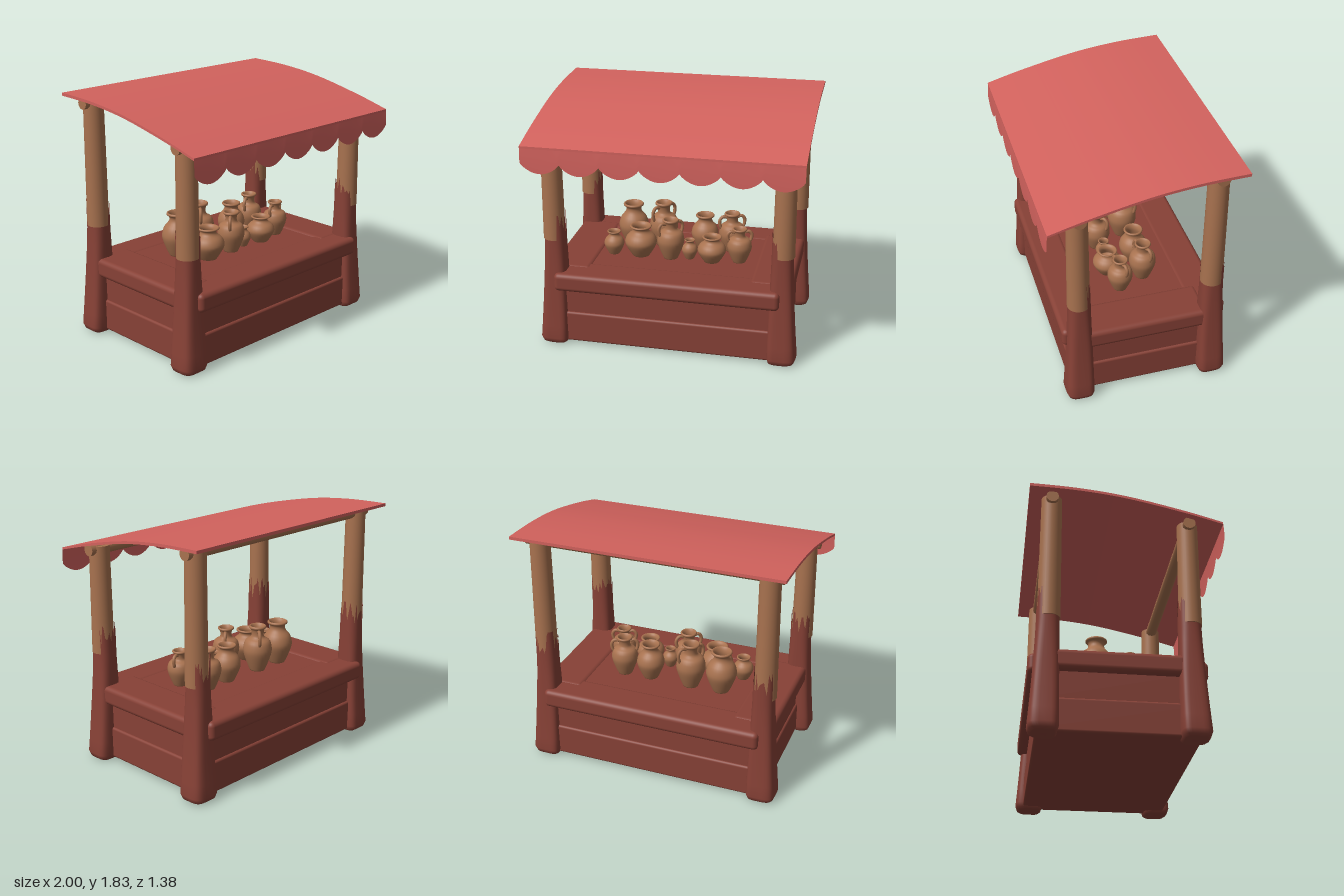
import * as THREE from 'three';
import { toCreasedNormals } from 'three/addons/utils/BufferGeometryUtils.js';
import { RoundedBoxGeometry } from 'three/addons/geometries/RoundedBoxGeometry.js';

const mat = (name, color, side = THREE.FrontSide) => {
  const m = new THREE.MeshStandardMaterial({ color, side });
  m.name = name;
  return m;
};

export function createModel() {
  const group = new THREE.Group();
  const cloth = mat('red cloth', 0xd2625d, THREE.DoubleSide);
  const wood = mat('light wood and clay', 0xa8724f, THREE.DoubleSide);
  const dark = mat('dark red wood', 0x874136, THREE.DoubleSide);

  let seed = 7;
  const rnd = () => (seed = (seed * 16807) % 2147483647) / 2147483647;

  const add = (name, geo, material, x = 0, y = 0, z = 0, parent = group) => {
    const m = new THREE.Mesh(geo, material);
    m.name = name;
    m.position.set(x, y, z);
    parent.add(m);
    return m;
  };
  // Rounded box given by its extents
  const slab = (name, x0, x1, y0, y1, z0, z1, r) =>
    add(name, new RoundedBoxGeometry(x1 - x0, y1 - y0, z1 - z0, 3, r), dark,
      (x0 + x1) / 2, (y0 + y1) / 2, (z0 + z1) / 2);

  // Flared post foot with a splintered upper rim on its inner and rear sides
  function footGeometry(sx, sz) {
    const N = 44, cx = sx * 0.843, cz = sz > 0 ? 0.45 : -0.53;
    const rows = [[0, 0], [0, 0.7], [0.015, 0.88], [0.05, 1], [0.15, 1], [0.3, 1], [0.5, 1], [0.7, 1], [0.82, 1], [null, 1]];
    const pos = [], index = [];
    rows.forEach(([rowY, scale], k) => {
      for (let i = 0; i < N; i++) {
        const a = (i / N) * Math.PI * 2, c = Math.cos(a), s = Math.sin(a);
        const torn = Math.max(-c * sx, -s) > 0.35;
        const y = rowY ?? (torn ? 0.89 + 0.2 * rnd() : 0.855);
        const t = Math.max(0, 1 - y / 0.85), e = 0.8 - 0.3 * Math.min(1, t * 2);
        const ux = Math.sign(c) * Math.abs(c) ** e, uz = Math.sign(s) * Math.abs(s) ** e;
        const hx = 0.078 + (ux * sx > 0 ? 0.055 * t ** 1.5 : 0.012 * t);
        const hz = 0.08 + (uz * sz > 0 ? 0.045 * t ** 1.5 : 0.01 * t);
        pos.push(cx + ux * hx * scale, y, cz + uz * hz * scale);
        if (k > 0) {
          const j = (i + 1) % N, b = (k - 1) * N, u = k * N;
          index.push(b + i, u + i, u + j, b + i, u + j, b + j);
        }
      }
    });
    const g = new THREE.BufferGeometry();
    g.setAttribute('position', new THREE.Float32BufferAttribute(pos, 3));
    g.setIndex(index);
    g.computeVertexNormals();
    return g;
  }

  // Posts and their feet
  for (const sx of [-1, 1]) for (const sz of [1, -1]) {
    const top = sz > 0 ? 1.65 : 1.8, bottom = 0.845;
    add('postFoot', footGeometry(sx, sz), dark);
    add('post', new THREE.CylinderGeometry(0.074, 0.081, top - bottom, 28), wood,
      sx * 0.85, (top + bottom) / 2, sz > 0 ? 0.455 : -0.525);
  }

  // Roof beams
  for (const [y, z] of [[1.625, 0.455], [1.772, -0.525]]) {
    add('roofBeam', new THREE.CylinderGeometry(0.045, 0.045, 1.9, 12), wood, 0, y, z).rotation.z = Math.PI / 2;
  }

  // Curved canopy
  const arc = new THREE.SplineCurve([[0.688, 1.615], [0.4, 1.692], [0, 1.778], [-0.35, 1.82], [-0.69, 1.834]]
    .map(([z, y]) => new THREE.Vector2(z, y))).getPoints(28);
  const under = arc.map((p, i) => new THREE.Vector2(p.x, p.y - 0.016 - 0.006 * i / 28)).reverse();
  const canopyGeo = new THREE.ExtrudeGeometry(new THREE.Shape([...arc, ...under]), { depth: 2, bevelEnabled: false });
  canopyGeo.rotateY(-Math.PI / 2).translate(1, 0, 0);
  add('canopy', toCreasedNormals(canopyGeo, 0.5), cloth);

  // Scalloped valance
  const valance = new THREE.PlaneGeometry(2, 1, 140, 5);
  const vp = valance.attributes.position;
  for (let i = 0; i < vp.count; i++) {
    const x = vp.getX(i), t = 0.5 - vp.getY(i);
    const u = ((x + 1) * 3.5) % 1;
    const low = 1.495 - 0.075 * Math.abs(Math.sin(Math.PI * u)) ** 0.75;
    vp.setXYZ(i, x, 1.612 + (low - 1.612) * t, 0.687 + 0.006 * Math.sin(t * Math.PI / 2));
  }
  valance.computeVertexNormals();
  add('valance', valance, cloth);

  // Counter body: two courses of planks
  slab('lowerPlanks', -0.87, 0.87, 0.02, 0.262, -0.595, 0.52, 0.018);
  slab('upperPlanks', -0.855, 0.855, 0.24, 0.5, -0.58, 0.505, 0.015);

  // Counter top: rail frame around an inset panel
  slab('frontRail', -0.84, 0.84, 0.452, 0.592, 0.31, 0.575, 0.035);
  slab('backRail', -0.84, 0.84, 0.452, 0.592, -0.655, -0.39, 0.035);
  for (const s of [-1, 1]) {
    const a = s * 0.6, b = s * 0.915;
    slab('sideRail', Math.min(a, b), Math.max(a, b), 0.455, 0.598, -0.5, 0.42, 0.035);
  }
  slab('counterPanel', -0.64, 0.64, 0.48, 0.586, -0.43, 0.35, 0.005);

  // Jars: x, z, top height, radius, handle angle (null for none)
  const jars = [
    [-0.5, 0.08, 0.77, 0.077, null], [-0.29, 0.07, 0.83, 0.122, null],
    [-0.055, 0.075, 0.9, 0.103, 0.7], [0.09, 0.06, 0.74, 0.06, null],
    [0.265, 0.08, 0.79, 0.108, null], [0.47, 0.04, 0.855, 0.093, 0.3],
    [-0.4, -0.15, 0.92, 0.115, null], [-0.16, -0.16, 0.942, 0.11, 0.9],
    [0.17, -0.15, 0.87, 0.105, null], [0.38, -0.16, 0.895, 0.1, 0.4],
  ];
  const base = 0.584;
  for (const [x, z, top, r, angle] of jars) {
    const h = top - base, handled = angle !== null;
    const jar = new THREE.Group();
    jar.name = 'jar';
    jar.position.set(x, base, z);
    const neck = handled ? 0.42 : 0.5, neckY = handled ? 0.8 : 0.84;
    const body = new THREE.SplineCurve([[0.52, 0], [0.72, 0.15], [0.95, 0.36], [1, 0.5], [0.86, 0.66], [neck + 0.08, neckY - 0.06],
      [neck, neckY + 0.02], [neck + 0.05, 0.92], [neck + 0.18, 0.955], [neck + 0.17, 0.99], [neck + 0.08, 1], [neck - 0.04, 0.93],
      [neck - 0.06, 0.82], [0.6, 0.6]].map(([a, b]) => new THREE.Vector2(a * r, b * h))).getPoints(40);
    add('jarBody', new THREE.LatheGeometry([new THREE.Vector2(0, 0), ...body, new THREE.Vector2(0, 0.5 * h)], 28), wood, 0, 0, 0, jar);
    if (handled) {
      jar.rotation.y = angle;
      for (const s of [-1, 1]) {
        const path = new THREE.CatmullRomCurve3([[0.42, 0.89], [0.75, 0.91], [0.98, 0.82], [0.95, 0.68], [0.82, 0.6]]
          .map(([a, b]) => new THREE.Vector3(s * a * r, b * h, 0)));
        add('jarHandle', new THREE.TubeGeometry(path, 14, 0.013, 8), wood, 0, 0, 0, jar);
      }
    }
    group.add(jar);
  }
  return group;
}
